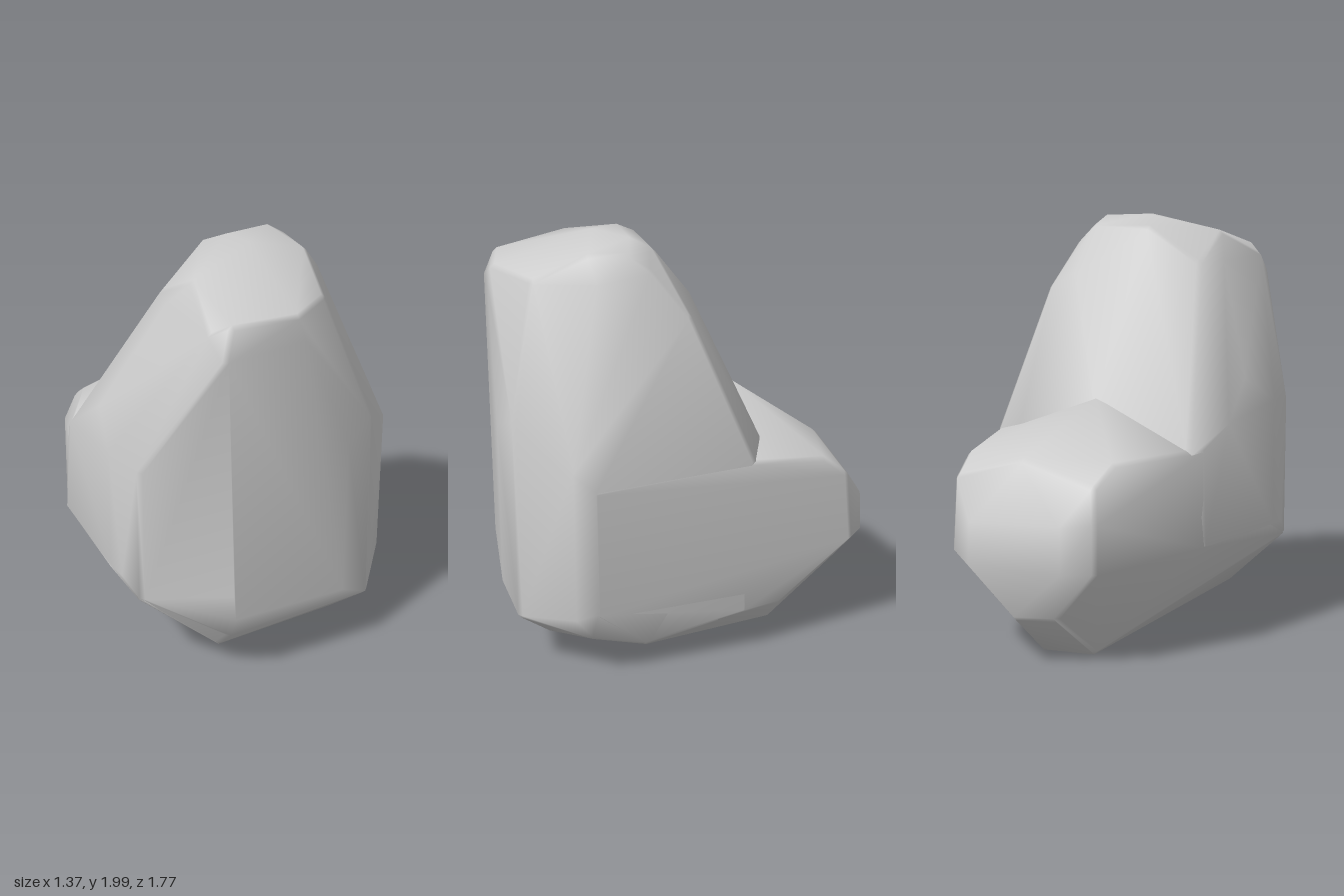
import * as THREE from 'three';
import { ConvexGeometry } from 'three/addons/geometries/ConvexGeometry.js';
import { mergeVertices } from 'three/addons/utils/BufferGeometryUtils.js';

const BEVEL = 0.02;

// Convex boulder from corner points; every corner gets a small chamfer.
function boulder(name, corners, material) {
  const pts = corners.map((c) => new THREE.Vector3(...c));
  const centre = new THREE.Box3().setFromPoints(pts).getCenter(new THREE.Vector3());
  const chamfered = [];
  for (const p of pts) {
    const inner = p.clone().addScaledVector(p.clone().sub(centre).normalize(), -BEVEL);
    for (const axis of ['x', 'y', 'z']) {
      for (const s of [-BEVEL, BEVEL]) {
        const q = inner.clone();
        q[axis] += s;
        chamfered.push(q);
      }
    }
  }
  // Area-weighted normals keep the big faces flat and the chamfers soft.
  let geometry = new ConvexGeometry(chamfered);
  geometry.deleteAttribute('normal');
  geometry = mergeVertices(geometry, 1e-4);
  geometry.computeVertexNormals();
  const mesh = new THREE.Mesh(geometry, material);
  mesh.name = name;
  return mesh;
}

// Corners shared by both masses along the base and the two flanks
const shared = [
  [-0.28, 0.12, 0.7], [0.54, 0.11, 0.25], [-0.68, 0.5, 0.4],
  [-0.63, 0.42, 0.6], [0.675, 0.95, 0.48], [0.675, 0.34, 0.48],
  [0.455, 0.96, -0.29], [0.465, 0.2, -0.25], [-0.63, 0.95, -0.17], [-0.65, 0.5, -0.18],
];

// Tall front mass
const tall = [
  // sloping cap
  [-0.3, 1.83, 0.83], [0, 1.83, 0.86], [0.27, 1.93, 0.45], [0.2, 1.98, 0.25],
  [-0.03, 1.99, 0.28], [-0.31, 1.91, 0.5], [0.28, 1.93, 0.26], [0.02, 1.985, 0.4],
  // front face and its bevels on the +x side
  [-0.35, 1.71, 0.875], [0.03, 1.73, 0.875], [-0.31, 0.5, 0.875], [-0.3, 0.37, 0.875],
  [0.28, 1.15, 0.875], [0.28, 0.35, 0.875], [0.22, 1.81, 0.7],
  [0.43, 1.22, 0.815], [0.45, 0.25, 0.815], [0.66, 1.04, 0.58], [0.66, 0.31, 0.58],
  [0.35, 1.83, 0.42], [0.3, 1.86, 0.17],
  // flank on the -x side
  [-0.38, 1.79, 0.4], [-0.37, 1.79, 0.78], [-0.34, 1.78, 0.26], [-0.63, 1.25, 0.2],
  [-0.68, 1.06, -0.03], [-0.68, 1.12, 0.4], [-0.635, 1.1, 0.6], [-0.67, 0.5, 0.5],
  // back slope
  [-0.6, 0.93, -0.23], [-0.13, 1.13, -0.31], [0.28, 0.94, -0.38],
  [0.2, 1.73, -0.01], [0.35, 1.65, 0], [-0.1, 1.94, 0.19], [0.2, 1.93, 0.15],
  // underside
  [-0.28, 0.22, 0.79], [0.4, 0.22, 0.77], [0.35, 0.12, 0.68], [0.6, 0.19, 0.5],
  ...shared,
];

// Low rear lobe
const lobe = [
  // keel
  [0, 0, -0.55], [-0.26, 0.01, -0.5], [0.25, 0.06, -0.42], [0.39, 0.2, -0.44],
  // rounded end
  [0.32, 0.82, -0.77], [0.32, 0.48, -0.8], [0.16, 0.65, -0.88], [0.16, 0.45, -0.89],
  [-0.05, 0.22, -0.82], [-0.3, 0.67, -0.8], [-0.3, 0.45, -0.8], [-0.42, 0.68, -0.72],
  [-0.42, 0.45, -0.72], [-0.22, 0.22, -0.74],
  // top, with a ridge running up to the back slope
  [-0.4, 0.915, -0.55], [-0.38, 0.83, -0.67], [-0.51, 0.81, -0.47],
  [0, 0.92, -0.69], [0.34, 0.91, -0.66], [-0.13, 1.16, -0.3], [-0.6, 0.93, -0.23],
  ...shared,
];

export function createModel() {
  const material = new THREE.MeshStandardMaterial({ color: 0xcccccc });
  const group = new THREE.Group();
  group.name = 'rock';
  group.add(boulder('tallMass', tall, material), boulder('rearLobe', lobe, material));
  // Settle on the ground, centred
  const box = new THREE.Box3().setFromObject(group);
  const mid = box.getCenter(new THREE.Vector3());
  group.position.set(-mid.x, -box.min.y, -mid.z);
  return group;
}
